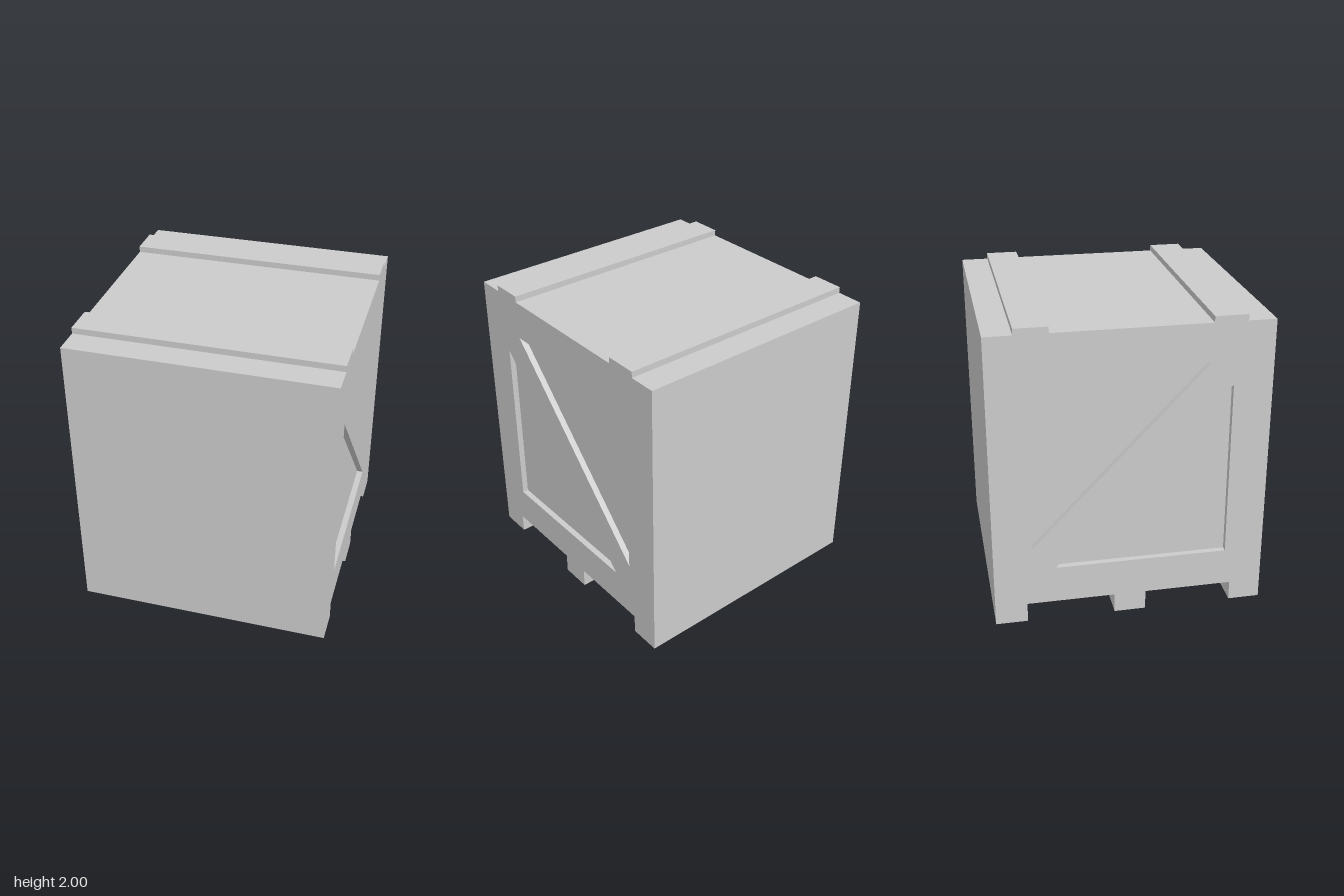
import * as THREE from 'three';

const HALF_X = 0.84, HALF_Z = 0.883, RECESS = 0.04;

// Points are [z, y]; shapes are drawn with -z to the right, as seen from +x.
const toPoints = (pts) => pts.map(([z, y]) => new THREE.Vector2(-z, y));

// Crate end outline: three feet below, two raised battens on top.
const FOOT = 0.13, LID = 1.96, TOP = 2;
const half = [
  [0.103, 0], [0.103, FOOT], [0.676, FOOT], [0.676, 0], [HALF_Z, 0],
  [HALF_Z, LID], [0.705, LID], [0.705, TOP], [0.495, TOP], [0.495, LID],
];
const outline = [...half, ...half.map(([z, y]) => [-z, y]).reverse()];

// Triangular recesses on either side of the diagonal brace.
const recesses = [
  [[0.633, 0.38], [-0.487, 0.38], [0.633, 1.555]],
  [[-0.633, 1.708], [0.487, 1.708], [-0.633, 0.535]],
];

// Extrudes the outline along x from x0 to x1.
function slab(name, x0, x1, holes, material) {
  const shape = new THREE.Shape(toPoints(outline));
  shape.holes = holes.map((h) => new THREE.Path(toPoints(h)));
  const geometry = new THREE.ExtrudeGeometry(shape, { depth: x1 - x0, bevelEnabled: false });
  geometry.rotateY(Math.PI / 2).translate(x0, 0, 0);
  const mesh = new THREE.Mesh(geometry, material);
  mesh.name = name;
  return mesh;
}

export function createModel() {
  const group = new THREE.Group();
  group.name = 'crate';
  const material = new THREE.MeshStandardMaterial({ color: 0xcccccc, flatShading: true });
  const inner = HALF_X - RECESS;

  // Solid body with feet and lid battens
  group.add(slab('crateBody', -inner, inner, [], material));

  // Braced frames on both sides
  group.add(slab('leftBracedFrame', inner, HALF_X, recesses, material));
  group.add(slab('rightBracedFrame', -HALF_X, -inner, recesses, material));

  return group;
}
